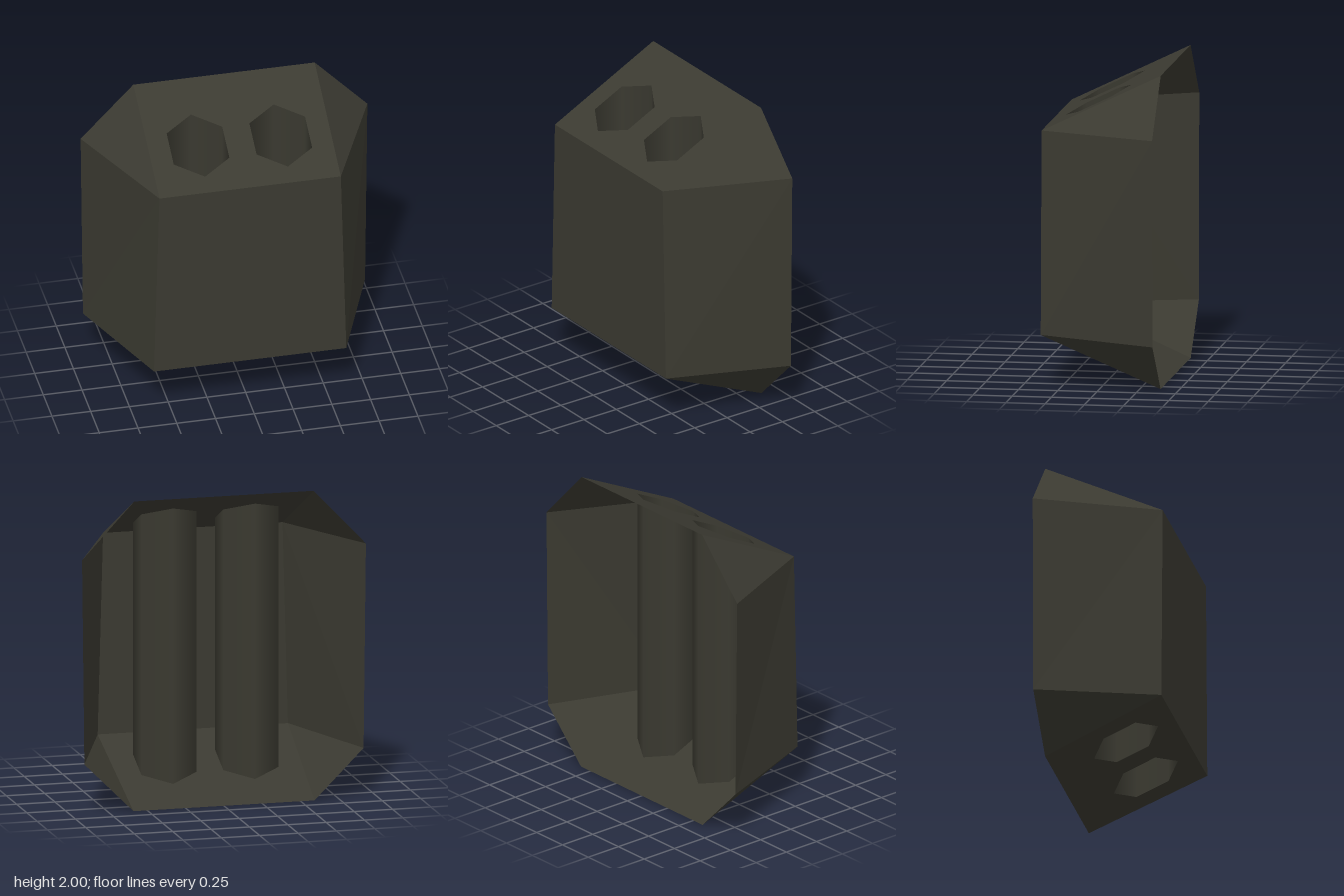
import * as THREE from 'three';

// Open-backed bevelled shell pierced by two open hexagonal tubes
const FRONT_Z = 0.38, BACK_Z = -0.38;
const HOLE_X = 0.267, HOLE_Z = 0.067, HOLE_R = 0.207;

// Heights of the sloping top and bottom panels at depth z
const slope = (back, front) => z => back + (front - back) * (z - BACK_Z) / (FRONT_Z - BACK_Z);
const topY = slope(2, 1.63);
const bottomY = slope(0, 0.33);

// Flat polygon from corners in order, mirrored across x when side is -1
function panel(corners, side = 1) {
  const pts = corners.map(([x, y, z]) => [x * side, y, z]);
  if (side < 0) pts.reverse();
  const pos = [];
  for (let i = 1; i < pts.length - 1; i++) pos.push(...pts[0], ...pts[i], ...pts[i + 1]);
  const g = new THREE.BufferGeometry();
  g.setAttribute('position', new THREE.Float32BufferAttribute(pos, 3));
  g.computeVertexNormals();
  return g;
}

// Sloping trapezoid with two hexagonal holes; facing is +1 for up, -1 for down
function piercedPanel(backHalf, frontHalf, heightAt, facing) {
  const at = (x, z) => new THREE.Vector2(x, -facing * z);
  const shape = new THREE.Shape([
    at(-backHalf, BACK_Z), at(backHalf, BACK_Z), at(frontHalf, FRONT_Z), at(-frontHalf, FRONT_Z),
  ]);
  for (const s of [-1, 1]) {
    const hex = [];
    for (let i = 0; i < 6; i++) {
      const a = i * Math.PI / 3;
      hex.push(at(s * HOLE_X + HOLE_R * Math.sin(a), HOLE_Z + HOLE_R * Math.cos(a)));
    }
    shape.holes.push(new THREE.Path(hex));
  }
  const g = new THREE.ShapeGeometry(shape);
  const p = g.attributes.position;
  for (let i = 0; i < p.count; i++) {
    const z = -facing * p.getY(i);
    p.setXYZ(i, p.getX(i), heightAt(z), z);
  }
  g.computeVertexNormals();
  return g;
}

// Hexagonal tube whose ends are trimmed to the sloping panels
function tube(x) {
  const g = new THREE.CylinderGeometry(HOLE_R, HOLE_R, 1, 6, 1, true);
  g.translate(x, 0, HOLE_Z);
  const p = g.attributes.position;
  for (let i = 0; i < p.count; i++) {
    const z = p.getZ(i);
    p.setY(i, p.getY(i) > 0 ? topY(z) : bottomY(z));
  }
  return g;
}

export function createModel() {
  const model = new THREE.Group();
  model.name = 'twinTubeBlock';
  const casing = new THREE.MeshStandardMaterial({ color: 0x3b3a31, side: THREE.DoubleSide });
  casing.name = 'dark olive';

  const add = (name, geometry) => {
    const mesh = new THREE.Mesh(geometry, casing);
    mesh.name = name;
    model.add(mesh);
  };

  // Corners of the left half
  const frontTop = [0.585, 1.63, FRONT_Z], frontBottom = [0.62, 0.33, FRONT_Z];
  const rimTop = [0.585, 2, BACK_Z], rimUpper = [0.925, 1.64, BACK_Z];
  const rimLower = [0.91, 0.32, BACK_Z], rimBottom = [0.59, 0, BACK_Z];
  const flip = ([x, y, z]) => [-x, y, z];

  add('frontPanel', panel([flip(frontBottom), frontBottom, frontTop, flip(frontTop)]));
  add('topPanel', piercedPanel(0.585, 0.585, topY, 1));
  add('bottomPanel', piercedPanel(0.59, 0.62, bottomY, -1));

  for (const [side, label] of [[1, 'left'], [-1, 'right']]) {
    add(label + 'SidePanel', panel([frontBottom, rimLower, rimUpper, frontTop], side));
    add(label + 'TopCorner', panel([frontTop, rimUpper, rimTop], side));
    add(label + 'BottomCorner', panel([frontBottom, rimBottom, rimLower], side));
    add(label + 'Tube', tube(side * HOLE_X));
  }
  return model;
}
